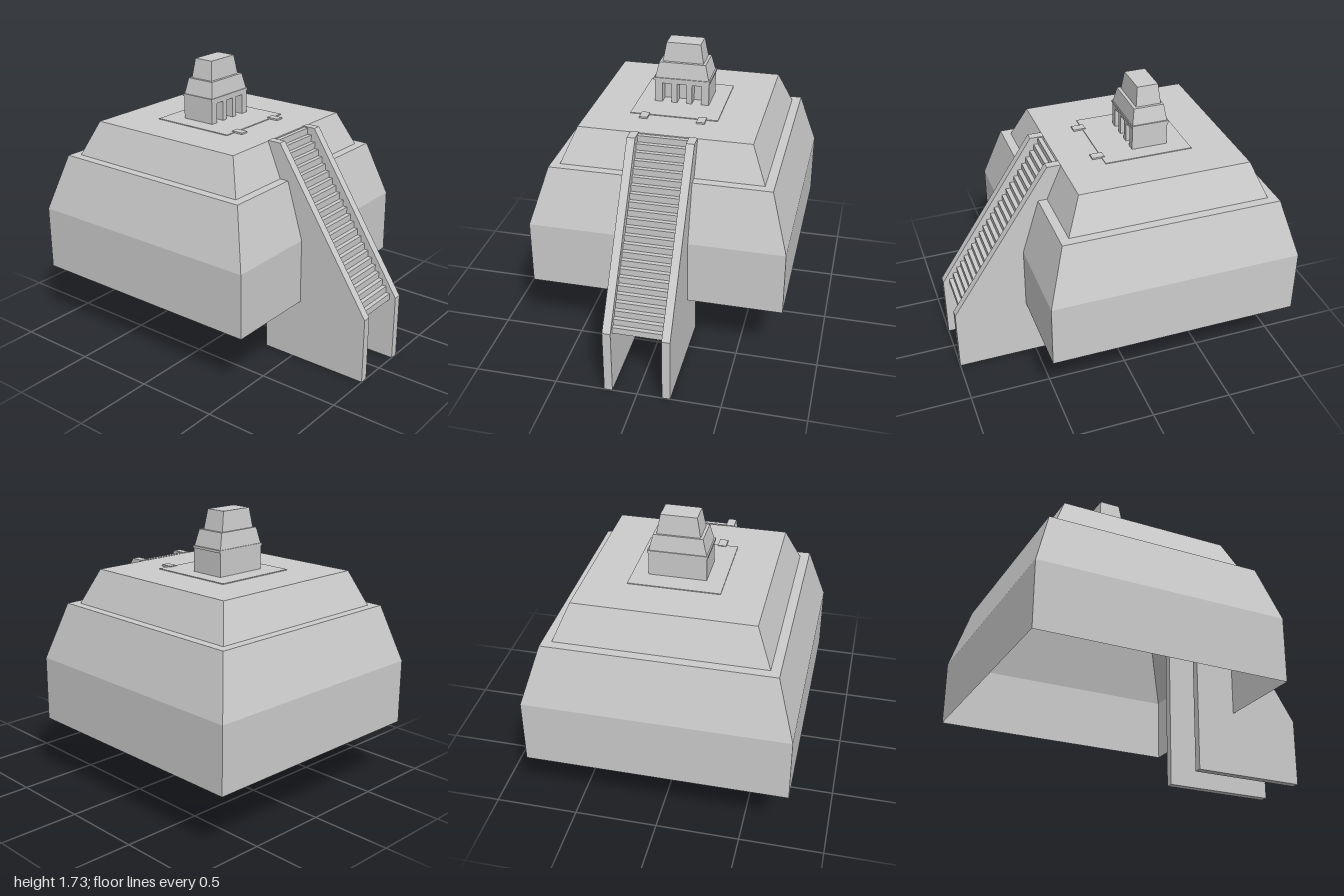
import * as THREE from 'three';

const grey = new THREE.MeshStandardMaterial({ color: 0xcccccc, flatShading: true, side: THREE.DoubleSide });

function add(parent, name, geometry, x = 0, y = 0, z = 0) {
  const mesh = new THREE.Mesh(geometry, grey);
  mesh.name = name;
  mesh.position.set(x, y, z);
  parent.add(mesh);
  return mesh;
}

// Square-sided tier from [halfWidth, y] pairs, listed bottom to top
function tier(profile, depthRatio = 1) {
  const points = profile.map(([half, y]) => new THREE.Vector2(half * Math.SQRT2, y));
  return new THREE.LatheGeometry(points, 4, Math.PI / 4).scale(1, 1, depthRatio);
}

// Outline given as [z, y] pairs, extruded along x and centred on x = 0
function sideExtrude(outline, width) {
  const shape = new THREE.Shape(outline.map(([z, y]) => new THREE.Vector2(z, y)));
  return new THREE.ExtrudeGeometry(shape, { depth: width, bevelEnabled: false })
    .rotateY(-Math.PI / 2).translate(width / 2, 0, 0);
}

// Open zigzag of risers and treads
function stairs(steps, width, z0, z1, y0, y1) {
  const run = (z0 - z1) / steps, rise = (y1 - y0) / steps;
  const positions = [], index = [];
  const row = (z, y) => positions.push(-width / 2, y, z, width / 2, y, z);
  for (let i = 0; i < steps; i++) {
    row(z0 - i * run, y0 + i * rise);
    row(z0 - i * run, y0 + (i + 1) * rise);
  }
  row(z1, y1);
  for (let i = 0; i < steps * 2; i++) {
    const a = i * 2;
    index.push(a, a + 1, a + 3, a, a + 3, a + 2);
  }
  const geometry = new THREE.BufferGeometry();
  geometry.setAttribute('position', new THREE.Float32BufferAttribute(positions, 3));
  geometry.setIndex(index);
  geometry.computeVertexNormals();
  return geometry;
}

export function createModel() {
  const model = new THREE.Group();
  model.name = 'steppedPyramid';
  const bodyZ = -0.225;

  // Hollow pyramid body, open underneath
  add(model, 'lowerTier', tier([[0.775, 0.39], [0.775, 0.79], [0.67, 1.14], [0, 1.14]]), 0, 0, bodyZ);
  add(model, 'upperTier', tier([[0.615, 1.14], [0.525, 1.353], [0, 1.353]]), 0, 0, bodyZ);

  // Staircase between two side walls
  const wall = [[1, 0], [1, 0.41], [0.385, 1.358], [0.3, 1.358], [0.3, 0]];
  for (const side of [-1, 1]) {
    add(model, side > 0 ? 'leftStairWall' : 'rightStairWall', sideExtrude(wall, 0.05), side * 0.175);
  }
  add(model, 'stairs', stairs(24, 0.3, 0.96, 0.31, 0.39, 1.352));

  // Low platform with two blocks on its front edge
  add(model, 'platform', new THREE.BoxGeometry(0.54, 0.012, 0.54), 0, 1.352, -0.22);
  for (const side of [-1, 1]) {
    add(model, 'platformBlock', new THREE.BoxGeometry(0.05, 0.02, 0.075), side * 0.175, 1.353, 0.07);
  }

  // Temple
  const temple = new THREE.Group();
  temple.name = 'temple';
  temple.position.set(0.004, 0, -0.26);
  model.add(temple);
  add(temple, 'rearWalls', new THREE.BoxGeometry(0.34, 0.15, 0.15), 0, 1.43, -0.035);

  // Front wall with three doorways reaching the floor
  const front = new THREE.Shape();
  front.moveTo(-0.17, 1.355);
  for (const x of [-0.093, 0, 0.093]) {
    front.lineTo(x - 0.029, 1.355);
    front.lineTo(x - 0.029, 1.48);
    front.lineTo(x + 0.029, 1.48);
    front.lineTo(x + 0.029, 1.355);
  }
  front.lineTo(0.17, 1.355);
  front.lineTo(0.17, 1.505);
  front.lineTo(-0.17, 1.505);
  add(temple, 'frontWall', new THREE.ExtrudeGeometry(front, { depth: 0.07, bevelEnabled: false }), 0, 0, 0.04);

  add(temple, 'cornice', new THREE.BoxGeometry(0.352, 0.015, 0.228), 0, 1.508, 0);
  add(temple, 'lowerRoof', tier([[0.168, 1.515], [0.144, 1.612], [0, 1.612]], 0.645));
  add(temple, 'upperRoof', tier([[0.127, 1.612], [0.106, 1.73], [0, 1.73]], 0.61), 0, 0, -0.004);

  return model;
}
